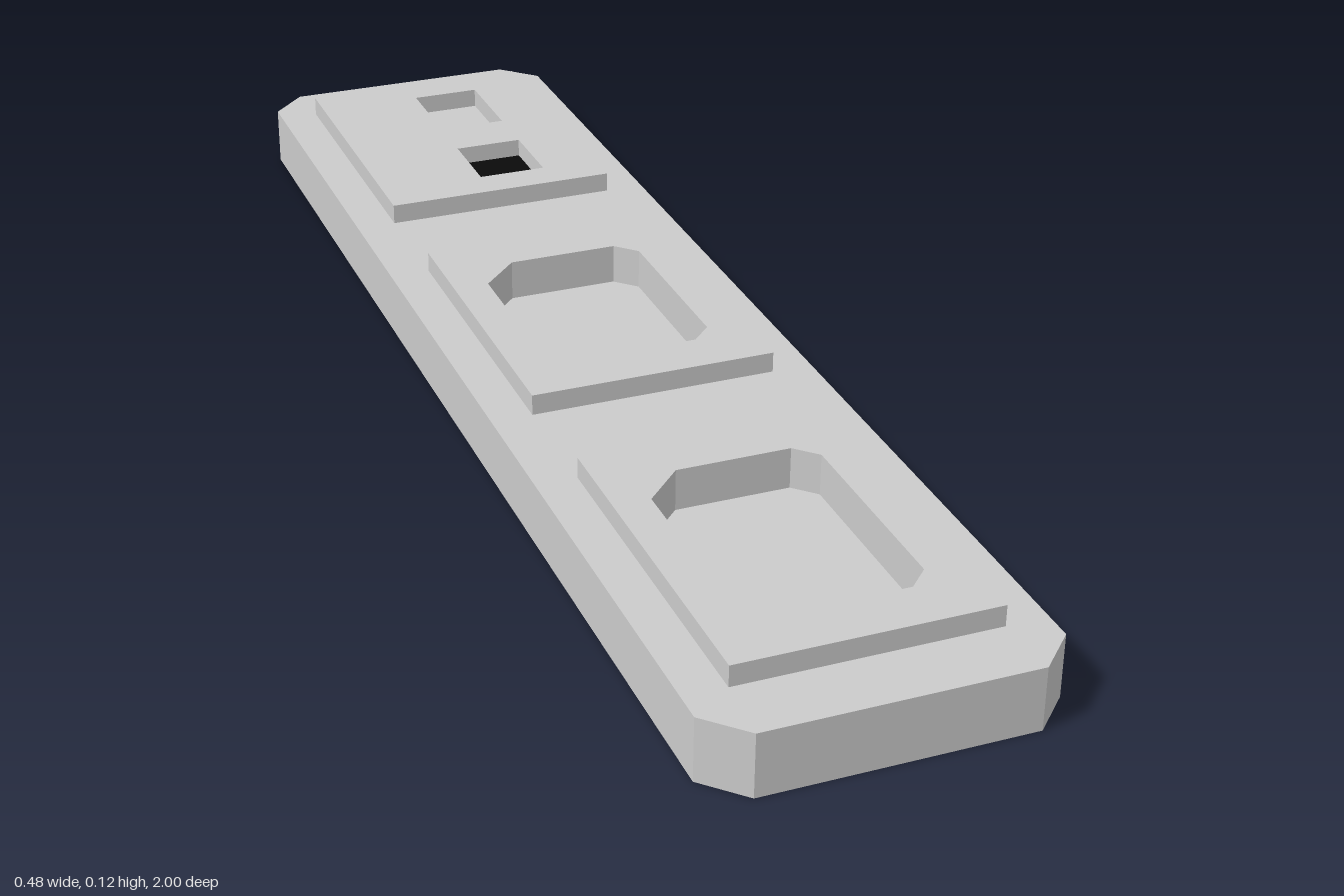
import * as THREE from 'three';

const grey = new THREE.MeshStandardMaterial({ color: 0xcccccc, flatShading: true });
const black = new THREE.MeshStandardMaterial({ color: 0x0a0a0a, flatShading: true });

// Rectangle outline in x/z; cutL and cutR chamfer the corners on the -x and +x sides
function outline(x0, x1, z0, z1, cutL = 0, cutR = cutL) {
  const left = cutL
    ? [[x0 + cutL, z1], [x0, z1 - cutL], [x0, z0 + cutL], [x0 + cutL, z0]]
    : [[x0, z1], [x0, z0]];
  const right = cutR
    ? [[x1 - cutR, z0], [x1, z0 + cutR], [x1, z1 - cutR], [x1 - cutR, z1]]
    : [[x1, z0], [x1, z1]];
  return [...left, ...right].map(([x, z]) => new THREE.Vector2(x, z));
}

// Flat slab between two heights, with optional holes
function slab(name, points, y0, y1, holes = [], material = grey) {
  const shape = new THREE.Shape(points);
  holes.forEach((h) => shape.holes.push(new THREE.Path(h)));
  const geo = new THREE.ExtrudeGeometry(shape, { depth: y1 - y0, bevelEnabled: false });
  geo.rotateX(Math.PI / 2).translate(0, y1, 0);
  const mesh = new THREE.Mesh(geo, material);
  mesh.name = name;
  return mesh;
}

export function createModel() {
  const group = new THREE.Group();
  group.name = 'switchPanel';

  const floorY = 0.06, bodyY = 0.09, topY = 0.12;
  const body = outline(-0.238, 0.238, -1, 1, 0.053);
  const pockets = [
    outline(-0.127, 0.122, -0.18, 0.148, 0.056, 0.03),
    outline(-0.127, 0.122, 0.477, 0.832, 0.056, 0.03),
  ];
  const slots = [
    outline(-0.016, 0.09, -0.853, -0.705),
    outline(-0.016, 0.09, -0.618, -0.496),
  ];

  // Chamfered base; the two large pockets sink into its upper layer
  group.add(slab('baseLower', body, 0, floorY));
  group.add(slab('baseUpper', body, floorY, bodyY, pockets));

  // Raised plates with their openings
  group.add(slab('rearPlate', outline(-0.179, 0.179, -0.913, -0.438), bodyY, topY, slots));
  group.add(slab('middlePlate', outline(-0.179, 0.179, -0.255, 0.223), bodyY, topY, [pockets[0]]));
  group.add(slab('frontPlate', outline(-0.179, 0.179, 0.403, 0.907), bodyY, topY, [pockets[1]]));

  // Dark floor of one rear slot
  group.add(slab('slotFloor', slots[1], bodyY - 0.01, bodyY + 0.002, [], black));
  return group;
}
